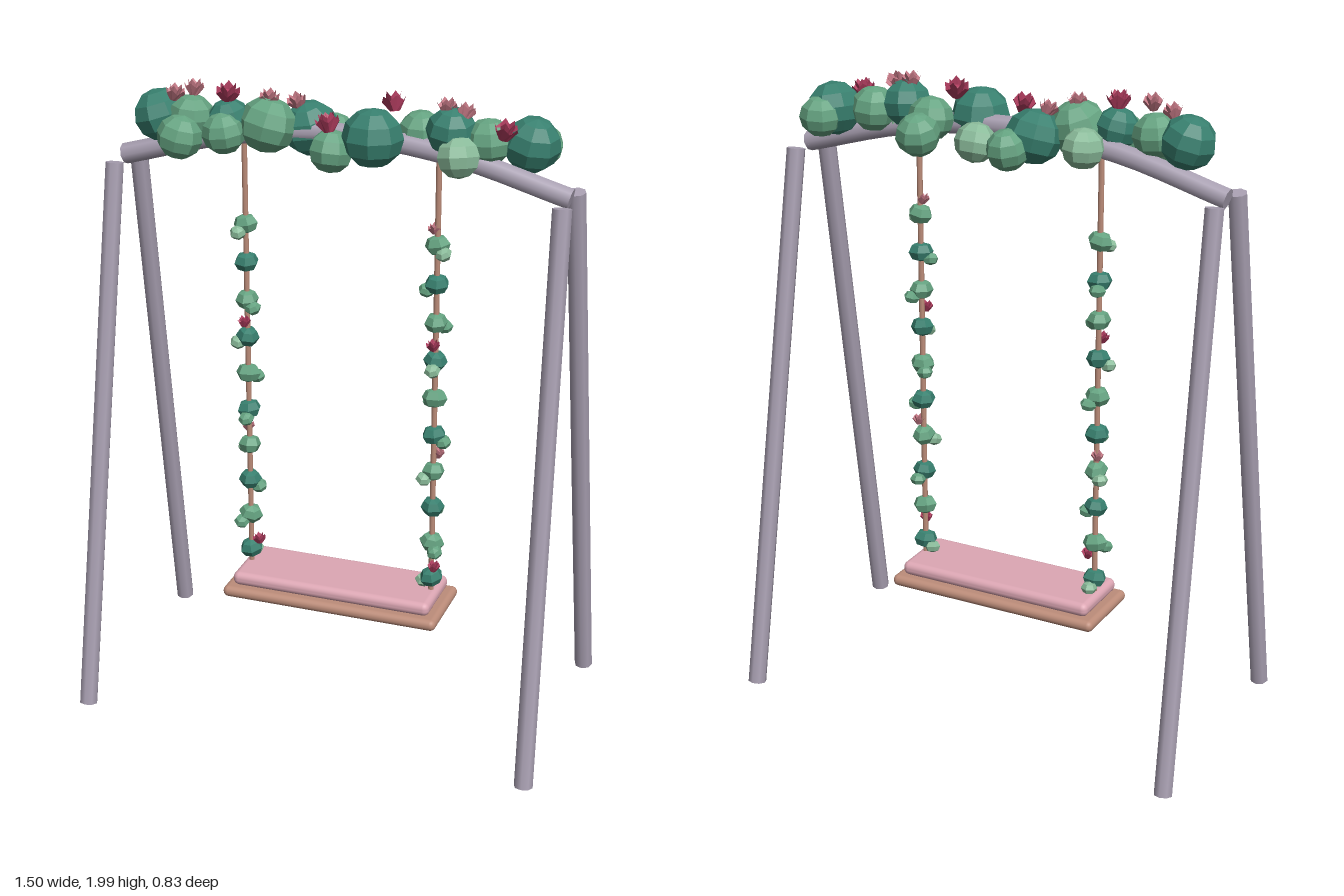
import * as THREE from 'three';
import { RoundedBoxGeometry } from 'three/addons/geometries/RoundedBoxGeometry.js';

const V = (x, y, z) => new THREE.Vector3(x, y, z);

export function createModel() {
  const model = new THREE.Group();
  model.name = 'gardenSwing';

  const paint = (name, color, extra = {}) => {
    const m = new THREE.MeshStandardMaterial({ color, ...extra });
    m.name = name;
    return m;
  };
  const frame = paint('lavenderGrey', 0xaaa1b3);
  const wood = paint('wood', 0xbd8d7a);
  const pink = paint('cushionPink', 0xdda7b4);
  const flat = { flatShading: true };
  const greens = [
    paint('darkGreen', 0x38806f, flat),
    paint('midGreen', 0x65a381, flat),
    paint('paleGreen', 0x8abb9a, flat),
  ];
  const petals = [
    paint('deepRose', 0xb23d60, { flatShading: true, side: THREE.DoubleSide }),
    paint('softRose', 0xcb7d8a, { flatShading: true, side: THREE.DoubleSide }),
  ];

  const add = (name, geometry, material, parent = model) => {
    const mesh = new THREE.Mesh(geometry, material);
    mesh.name = name;
    parent.add(mesh);
    return mesh;
  };
  const group = (name) => {
    const g = new THREE.Group();
    g.name = name;
    model.add(g);
    return g;
  };

  // Straight round bar between two points
  const rod = (name, a, b, r, material, sides = 8) => {
    const dir = b.clone().sub(a);
    const mesh = add(name, new THREE.CylinderGeometry(r, r, dir.length(), sides), material);
    mesh.position.copy(a).lerp(b, 0.5);
    mesh.quaternion.setFromUnitVectors(V(0, 1, 0), dir.normalize());
    return mesh;
  };

  // Splayed legs
  for (const sx of [-1, 1]) for (const sz of [-1, 1]) {
    rod('leg', V(sx * 0.72, 0.006, sz * 0.387), V(sx * 0.69, 1.72, sz * 0.085), 0.029, frame);
  }

  // Arched top beam with closed ends
  const arch = new THREE.CatmullRomCurve3([
    V(-0.69, 1.725, 0), V(-0.35, 1.815, 0), V(0, 1.85, 0), V(0.35, 1.815, 0), V(0.69, 1.725, 0),
  ]);
  add('topBeam', new THREE.TubeGeometry(arch, 20, 0.032, 8), frame);
  for (const t of [0, 1]) {
    const out = arch.getTangent(t).multiplyScalar(t ? 0.005 : -0.005);
    const end = arch.getPoint(t);
    rod('beamEnd', end.clone().sub(out), end.clone().add(out), 0.032, frame);
  }

  // Seat board and cushion
  add('seatBoard', new RoundedBoxGeometry(0.71, 0.037, 0.265, 3, 0.018), wood).position.y = 0.342;
  add('seatCushion', new RoundedBoxGeometry(0.655, 0.045, 0.225, 3, 0.02), pink).position.y = 0.383;

  // Leafy clumps along the beam: x, y, z, radius, green
  const clumps = [
    [-0.56, 1.865, 0.025, 0.083, 0], [-0.455, 1.87, 0.035, 0.07, 1], [-0.465, 1.825, 0.105, 0.07, 1],
    [-0.33, 1.875, 0.045, 0.065, 0], [-0.33, 1.845, 0.09, 0.066, 1], [-0.215, 1.865, 0.03, 0.088, 1],
    [-0.27, 1.83, -0.055, 0.064, 2], [-0.11, 1.845, -0.05, 0.086, 0], [-0.06, 1.815, -0.12, 0.065, 1],
    [-0.01, 1.81, 0.05, 0.068, 1], [0.08, 1.805, -0.055, 0.064, 2], [0.115, 1.86, 0.045, 0.092, 0],
    [0.225, 1.83, -0.14, 0.068, 1], [0.23, 1.86, -0.055, 0.07, 1], [0.335, 1.885, -0.01, 0.076, 0],
    [0.37, 1.825, 0.035, 0.066, 2], [0.44, 1.86, -0.03, 0.072, 1], [0.56, 1.855, -0.06, 0.086, 0],
    [0.575, 1.84, -0.115, 0.066, 1],
  ];
  const garland = group('beamGarland');
  const leafBall = new THREE.SphereGeometry(1, 8, 6);
  clumps.forEach(([x, y, z, r, c], i) => {
    const ball = add('leafClump', leafBall, greens[c], garland);
    ball.position.set(x, y, z);
    ball.scale.set(r, r * 0.95, r);
    ball.rotation.set(0.3 * Math.sin(i * 2), i * 1.3, 0.3 * Math.cos(i * 3));
  });

  // Rose: nested open cups with a wavy rim, around a small bud
  const cup = (r0, r1, h, lift) => {
    const geo = new THREE.CylinderGeometry(r1, r0, h, 10, 1, true);
    const p = geo.attributes.position;
    for (let i = 0; i < p.count; i++) {
      const wave = p.getY(i) > 0 && (i % 11) % 2 ? -0.35 * h : 0;
      p.setY(i, p.getY(i) + wave + lift);
    }
    return geo;
  };
  const roseParts = [cup(0.4, 1, 1.2, -0.1), cup(0.35, 0.65, 1.3, 0.25), new THREE.IcosahedronGeometry(0.42, 0)];
  const rose = (x, y, z, r, c, parent) => {
    const flower = new THREE.Group();
    flower.name = 'rose';
    roseParts.forEach((g, i) => add(i < 2 ? 'rosePetals' : 'roseBud', g, petals[c], flower));
    flower.position.set(x, y, z);
    flower.scale.setScalar(r);
    flower.rotation.set(0.25 * Math.sin(x * 30), x * 20, 0.25 * Math.cos(x * 25));
    parent.add(flower);
  };
  [
    [-0.5, 1.94, 0.05, 1], [-0.44, 1.96, 0.045, 1], [-0.33, 1.953, 0.05, 0], [-0.21, 1.943, 0.025, 1],
    [-0.145, 1.925, -0.03, 1], [-0.01, 1.9, 0.08, 0], [0.155, 1.95, -0.03, 0], [0.32, 1.955, -0.01, 1],
    [0.375, 1.945, -0.01, 1], [0.5, 1.905, 0.01, 0],
  ].forEach(([x, y, z, c]) => rose(x, y, z, c ? 0.03 : 0.036, c, garland));

  // Ropes wrapped in a leafy vine
  const leaf = new THREE.SphereGeometry(1, 6, 4);
  for (const s of [-1, 1]) {
    const x = s * 0.303;
    rod('rope', V(x, 0.36, 0), V(x, 1.84, 0), 0.009, wood, 8);
    const vine = group(s > 0 ? 'leftVine' : 'rightVine');
    for (let i = 0; i < 10; i++) {
      const y = 1.543 - i * 0.1215;
      const main = add('vineLeaf', leaf, greens[(i + 1) % 2], vine);
      main.position.set(x, y, 0);
      main.scale.set(0.04, 0.031, 0.036);
      main.rotation.set(0.2 * Math.sin(i), i * 0.8, 0.2 * Math.cos(i * 2));
      const angle = i * 2.4 + (s > 0 ? 0.6 : 2);
      const side = add('smallVineLeaf', leaf, greens[i % 3 ? 1 : 2], vine);
      side.position.set(x + 0.03 * Math.cos(angle), y - 0.02, 0.036 * Math.sin(angle));
      side.scale.set(0.026, 0.02, 0.026);
      side.rotation.set(0.3, angle, 0.2);
    }
    rose(x, 1.235, 0.028, 0.021, 0, vine);
    rose(s * 0.313, 0.868, -0.015, 0.02, 1, vine);
    rose(s > 0 ? 0.322 : -0.26, 0.505, 0.04, 0.021, 0, vine);
    if (s > 0) rose(0.293, 1.59, 0, 0.02, 1, vine);
  }

  return model;
}
